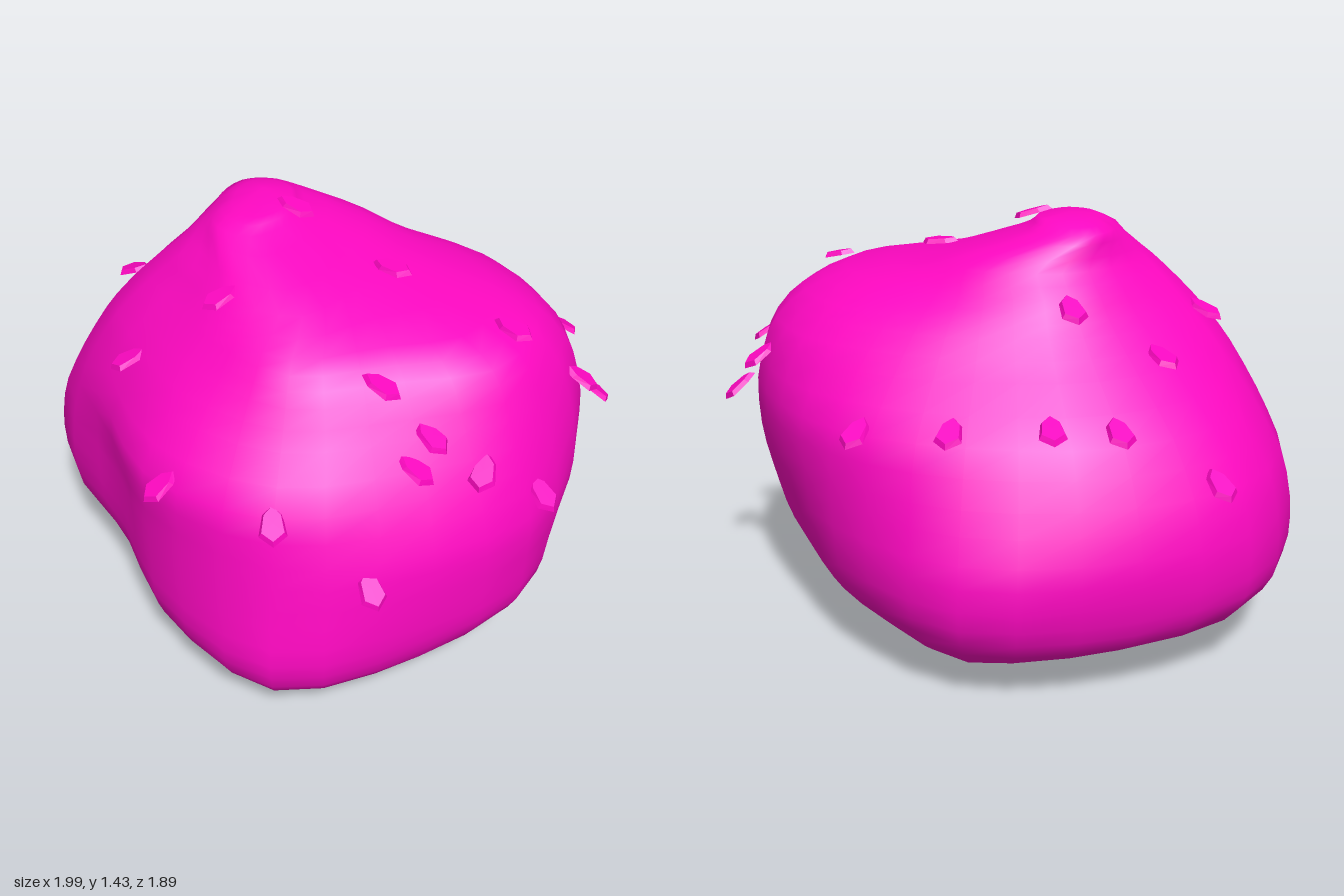
import * as THREE from 'three';

// Boulder cross-sections: radii every 30 degrees, from +x round through +z
const HEIGHTS = [0.08, 0.17, 0.29, 0.45, 0.63, 0.82, 1.0, 1.12, 1.2, 1.28, 1.37];
const RADII = [
  [0.48, 0.65, 0.72, 0.82, 0.68, 0.55, 0.52, 0.64, 0.68, 0.73, 0.56, 0.48],
  [0.68, 0.80, 0.83, 0.92, 0.79, 0.70, 0.85, 0.93, 0.89, 0.87, 0.70, 0.65],
  [0.80, 0.89, 0.87, 0.945, 0.83, 0.76, 0.97, 1.03, 0.95, 0.94, 0.79, 0.72],
  [0.85, 0.91, 0.88, 0.92, 0.83, 0.77, 0.99, 1.04, 0.97, 0.945, 0.82, 0.77],
  [0.89, 0.92, 0.87, 0.89, 0.83, 0.77, 0.96, 1.00, 0.93, 0.88, 0.82, 0.81],
  [0.89, 0.87, 0.80, 0.85, 0.83, 0.77, 0.87, 0.88, 0.84, 0.79, 0.80, 0.82],
  [0.84, 0.80, 0.69, 0.71, 0.69, 0.67, 0.76, 0.70, 0.66, 0.62, 0.66, 0.76],
  [0.74, 0.74, 0.61, 0.63, 0.57, 0.56, 0.66, 0.58, 0.55, 0.52, 0.54, 0.64],
  [0.57, 0.60, 0.50, 0.55, 0.49, 0.48, 0.58, 0.52, 0.50, 0.44, 0.42, 0.48],
  [0.19, 0.18, 0.23, 0.38, 0.40, 0.41, 0.49, 0.46, 0.43, 0.37, 0.30, 0.23],
  [0.14, 0.15, 0.18, 0.24, 0.23, 0.20, 0.18, 0.20, 0.23, 0.22, 0.19, 0.15],
];

// Flakes: x, y, z and a swing of the tilt about the vertical
const FLAKES = [
  [-0.76, 0.69, -0.63, 0], [-0.45, 0.86, -0.69, 0], [-0.25, 0.86, -0.73, 0], [0.05, 0.86, -0.77, 0],
  [0.35, 0.83, -0.72, 0], [-0.55, 1.01, -0.39, 0], [-0.28, 1.18, -0.46, 0], [-0.68, 1.10, -0.07, 0],
  [-0.10, 1.41, -0.05, 0], [0.24, 1.28, 0.07, 0], [0.65, 1.19, 0.23, 0], [0.81, 0.93, -0.25, 0],
  [0.945, 0.77, -0.10, 0], [0.87, 0.93, 0.08, 0], [0.79, 0.73, 0.46, 0], [0.28, 1.15, 0.56, 0.9],
  [0.43, 0.98, 0.56, 0.6], [0.40, 0.91, 0.64, 0.8], [0.58, 0.85, 0.53, -0.7], [0.29, 0.58, 0.82, 0.2],
  [0, 0.80, 0.83, 0.2], [-0.37, 0.82, 0.74, -0.4], [-0.58, 1.0, 0.34, -0.3], [-0.26, 1.26, 0.33, -0.2],
];

const SIDES = 32, LEVELS = 28;
const UP = new THREE.Vector3(0, 1, 0);

function ring(radii, y, scale = 1) {
  const drift = THREE.MathUtils.clamp((y - 1.28) / 0.09, 0, 1); // the summit sits off centre
  const points = radii.map((r, i) => {
    const a = (i / radii.length) * Math.PI * 2;
    return new THREE.Vector3(r * scale * Math.cos(a) - 0.21 * drift, y, r * scale * Math.sin(a) - 0.09 * drift);
  });
  return new THREE.CatmullRomCurve3(points, true, 'catmullrom', 0.5);
}

function boulderGeometry() {
  const rings = RADII.map((r, i) => ring(r, HEIGHTS[i]));
  rings.unshift(ring(RADII[0], 0.025, 0.62));
  rings.push(ring(RADII[10], 1.41, 0.6));

  // Blend the rings upward along smooth columns
  const columns = [];
  for (let i = 0; i < SIDES; i++) {
    const spine = new THREE.CatmullRomCurve3(rings.map((c) => c.getPoint(i / SIDES)), false, 'catmullrom', 0.4);
    columns.push(spine.getPoints(LEVELS));
  }
  const positions = [], index = [];
  for (let j = 0; j <= LEVELS; j++) {
    for (const column of columns) positions.push(...column[j].toArray());
  }
  const bottom = positions.length / 3, top = bottom + 1;
  positions.push(0.08, 0, 0.02, -0.23, 1.425, -0.13);
  for (let i = 0; i < SIDES; i++) {
    const n = (i + 1) % SIDES;
    for (let j = 0; j < LEVELS; j++) {
      const a = j * SIDES + i, b = j * SIDES + n;
      index.push(a, a + SIDES, b, b, a + SIDES, b + SIDES);
    }
    index.push(bottom, i, n, top, LEVELS * SIDES + n, LEVELS * SIDES + i);
  }
  const geometry = new THREE.BufferGeometry();
  geometry.setAttribute('position', new THREE.Float32BufferAttribute(positions, 3));
  geometry.setIndex(index);
  geometry.computeVertexNormals();
  return geometry;
}

// Thin six-sided chip, narrower at one end, lying along z
function flakeGeometry() {
  const geometry = new THREE.CylinderGeometry(0.82, 1, 1, 6);
  geometry.scale(0.043, 0.016, 0.07);
  const p = geometry.attributes.position;
  for (let i = 0; i < p.count; i++) p.setX(i, p.getX(i) * (1 + 5 * p.getZ(i)));
  return geometry;
}

// Nearest surface vertex and its normal
function nearest(geometry, point) {
  const { position, normal } = geometry.attributes;
  const v = new THREE.Vector3();
  let best = 0, distance = Infinity;
  for (let i = 0; i < position.count; i++) {
    const d = v.fromBufferAttribute(position, i).distanceToSquared(point);
    if (d < distance) { distance = d; best = i; }
  }
  return {
    at: new THREE.Vector3().fromBufferAttribute(position, best),
    normal: new THREE.Vector3().fromBufferAttribute(normal, best),
  };
}

export function createModel() {
  const model = new THREE.Group();
  model.name = 'boulderWithFlakes';
  const color = 0xff08c2;

  const boulder = new THREE.Mesh(boulderGeometry(), new THREE.MeshStandardMaterial({ color }));
  boulder.name = 'boulder';
  model.add(boulder);

  // Flakes stick out like shingles, flatter than the slope they sit on
  const flakes = new THREE.Group();
  flakes.name = 'flakes';
  const chip = flakeGeometry();
  const chipMaterial = new THREE.MeshStandardMaterial({ color, flatShading: true });
  for (const [x, y, z, swing] of FLAKES) {
    const point = new THREE.Vector3(x, y, z);
    const { at, normal } = nearest(boulder.geometry, point);
    const gap = point.clone().sub(at).dot(normal);
    point.addScaledVector(normal, Math.max(0, 0.015 - gap));
    const lift = normal.clone().addScaledVector(UP, 1.2).normalize().applyAxisAngle(UP, swing);
    const side = new THREE.Vector3().crossVectors(UP, lift).normalize();
    const slope = new THREE.Vector3().crossVectors(side, lift);
    const flake = new THREE.Mesh(chip, chipMaterial);
    flake.name = 'flake';
    flake.position.copy(point);
    flake.quaternion.setFromRotationMatrix(new THREE.Matrix4().makeBasis(side, lift, slope));
    flakes.add(flake);
  }
  model.add(flakes);
  return model;
}
